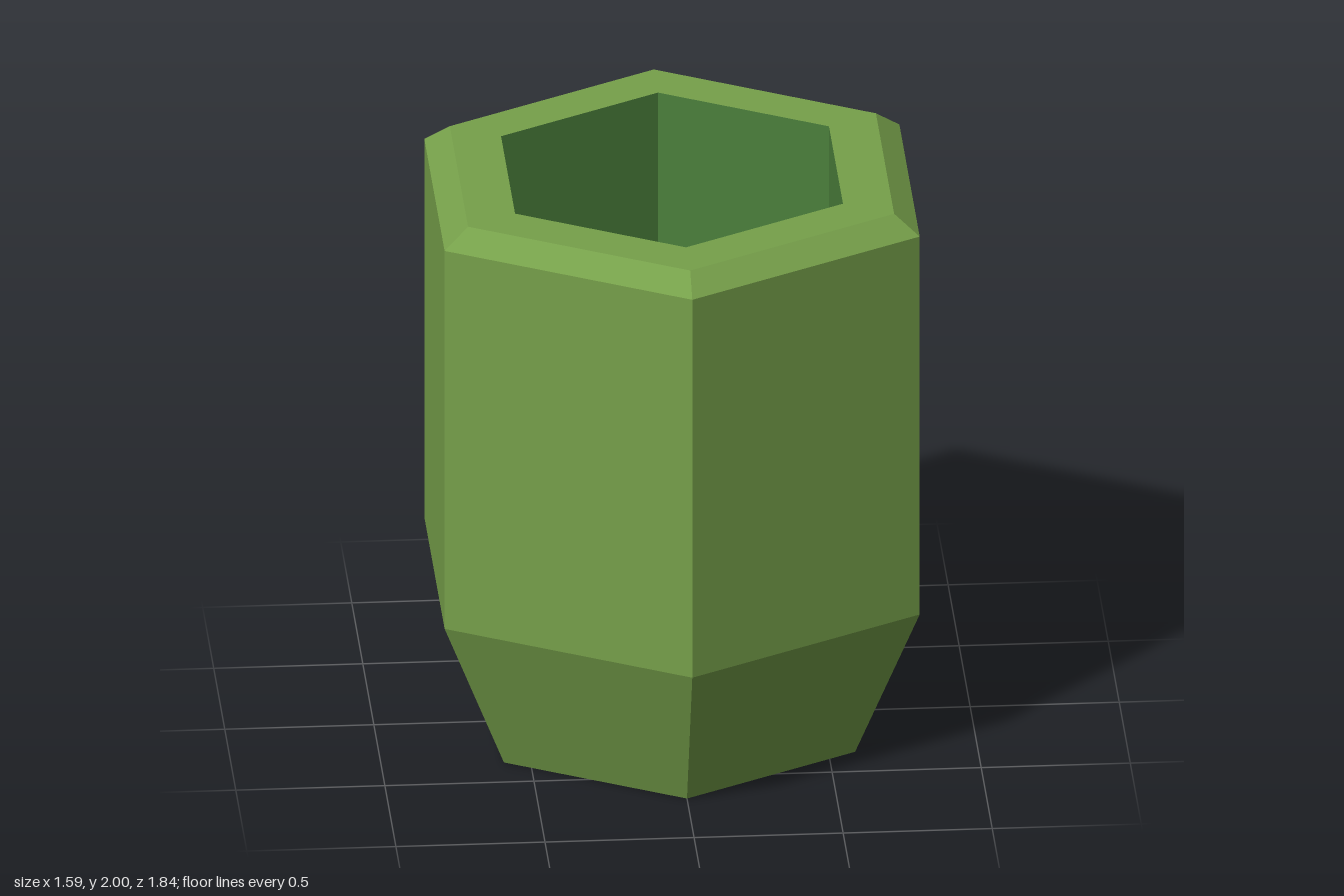
import * as THREE from 'three';

const material = (name, color) => new THREE.MeshStandardMaterial({
  name, color, flatShading: true, side: THREE.DoubleSide,
});

// Six-sided surface from a [radius, height] profile, corners on the z axis
function hexSurface(name, profile, mat) {
  const points = profile.map(([r, y]) => new THREE.Vector2(r, y));
  const mesh = new THREE.Mesh(new THREE.LatheGeometry(points, 6), mat);
  mesh.name = name;
  return mesh;
}

export function createModel() {
  const group = new THREE.Group();
  group.name = 'hexagonalPot';
  const outerGreen = material('leafGreen', 0x76a04a);
  const innerGreen = material('deepGreen', 0x4b803c);
  const holeRadius = 0.635, floorY = 1.0;

  group.add(
    // Tapered foot, open underneath
    hexSurface('taperedFoot', [[0.68, 0], [0.92, 0.55]], outerGreen),
    // Straight outer wall
    hexSurface('outerWall', [[0.92, 0.55], [0.92, 1.935]], outerGreen),
    // Bevelled lip and flat rim around the hole
    hexSurface('rim', [[0.92, 1.935], [0.825, 2], [holeRadius, 2]], outerGreen),
    // Recess walls and floor
    hexSurface('innerWall', [[holeRadius, 2], [holeRadius, floorY]], innerGreen),
    hexSurface('recessFloor', [[holeRadius, floorY], [0, floorY]], outerGreen),
  );
  return group;
}
